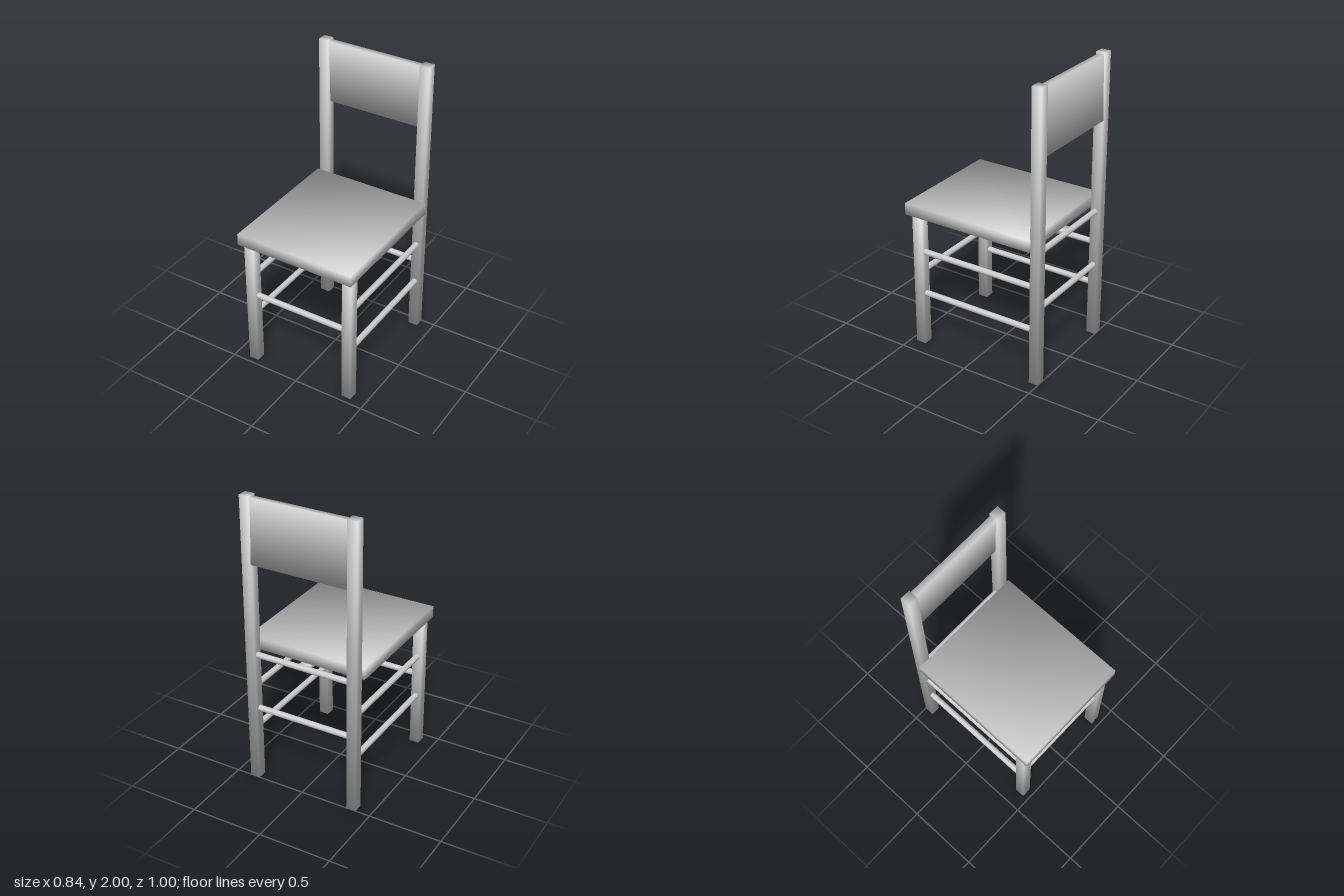
import * as THREE from 'three';

const material = new THREE.MeshStandardMaterial({ color: 0xcccccc });

// Box between two corners, with normals blended softly around its edges.
// keepX = false leaves the x direction out of the blend (for a panel between posts).
function softBox(name, min, max, keepX = true) {
  const size = max.map((v, i) => v - min[i]);
  const geometry = new THREE.BoxGeometry(...size);
  const { position, normal } = geometry.attributes;
  const n = new THREE.Vector3();
  for (let i = 0; i < position.count; i++) {
    n.set(keepX ? Math.sign(position.getX(i)) : 0, Math.sign(position.getY(i)), Math.sign(position.getZ(i))).normalize();
    normal.setXYZ(i, n.x, n.y, n.z);
  }
  const mesh = new THREE.Mesh(geometry, material);
  mesh.name = name;
  mesh.position.set(...min.map((v, i) => v + size[i] / 2));
  return mesh;
}

// Round rung lying along x or z
function rung(name, axis, length, x, y, z) {
  const geometry = new THREE.CylinderGeometry(0.02, 0.02, length, 20);
  if (axis === 'x') geometry.rotateZ(Math.PI / 2);
  else geometry.rotateX(Math.PI / 2);
  const mesh = new THREE.Mesh(geometry, material);
  mesh.name = name;
  mesh.position.set(x, y, z);
  return mesh;
}

export function createModel() {
  const chair = new THREE.Group();
  chair.name = 'chair';

  // Seat and the bar supporting it
  chair.add(softBox('seat', [-0.418, 0.945, -0.436], [0.418, 1.025, 0.5]));
  chair.add(softBox('seatSupportBar', [-0.035, 0.905, -0.45], [0.035, 0.935, 0.41]));

  // Legs and side rungs, mirrored left and right
  for (const [side, s] of [['left', 1], ['right', -1]]) {
    const x0 = s * 0.365 - 0.034, x1 = s * 0.365 + 0.034;
    chair.add(softBox(side + 'FrontLeg', [x0, 0, 0.39], [x1, 0.945, 0.46]));
    chair.add(softBox(side + 'BackPost', [x0, 0, -0.5], [x1, 2, -0.434]));
    chair.add(rung(side + 'UpperSideRung', 'z', 0.83, s * 0.365, 0.682, -0.022));
    chair.add(rung(side + 'LowerSideRung', 'z', 0.83, s * 0.365, 0.376, -0.022));
  }

  // Front and back rungs, low and just under the seat
  for (const [end, z] of [['front', 0.425], ['back', -0.467]]) {
    chair.add(rung(end + 'Rung', 'x', 0.67, 0, 0.53, z));
    chair.add(rung(end + 'SeatRail', 'x', 0.67, 0, 0.922, z));
  }

  // Back panel, leaning very slightly
  const panel = softBox('backPanel', [-0.332, 1.56, -0.496], [0.332, 1.99, -0.454], false);
  panel.rotation.x = 0.028;
  chair.add(panel);

  return chair;
}
